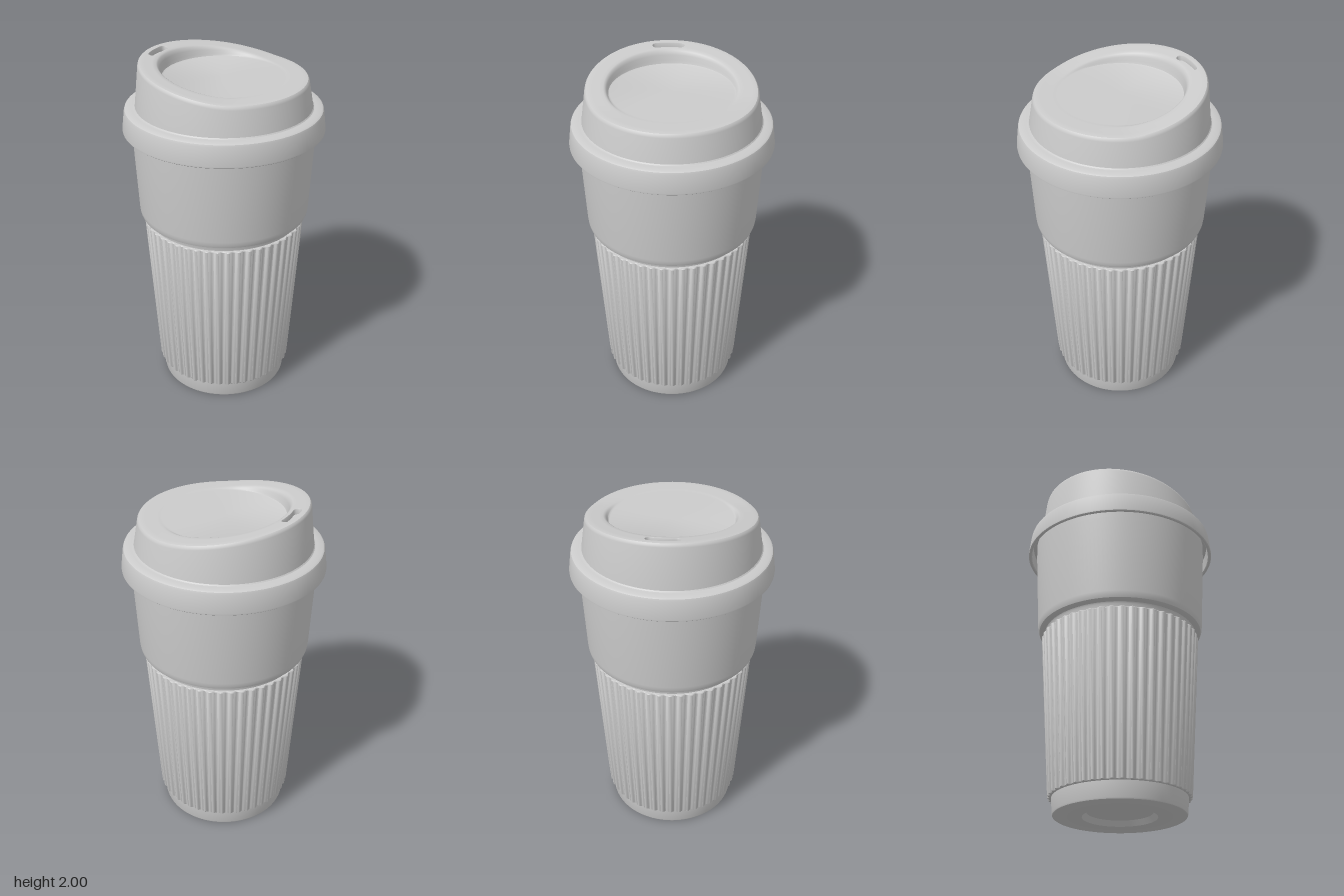
import * as THREE from 'three';
import { mergeGeometries, toCreasedNormals } from 'three/addons/utils/BufferGeometryUtils.js';

const material = new THREE.MeshStandardMaterial({ color: 0xcccccc });
const rad = THREE.MathUtils.degToRad;

// Creases are computed at a larger scale so that small fillets stay separate.
function crease(geometry, angle = 0.6) {
  geometry.scale(100, 100, 100);
  return toCreasedNormals(geometry, angle).scale(0.01, 0.01, 0.01);
}

function part(name, geometry) {
  const mesh = new THREE.Mesh(geometry, material);
  mesh.name = name;
  return mesh;
}

// Grid of quads; at(u, v) returns the point [x, y, z] for integer u and v.
function surface(nu, nv, at) {
  const points = [], index = [];
  for (let v = 0; v <= nv; v++) {
    for (let u = 0; u <= nu; u++) {
      points.push(...at(u, v));
      if (u < nu && v < nv) {
        const a = v * (nu + 1) + u, d = a + nu + 1;
        index.push(a, a + 1, d + 1, a, d + 1, d);
      }
    }
  }
  const geometry = new THREE.BufferGeometry();
  geometry.setAttribute('position', new THREE.Float32BufferAttribute(points, 3));
  geometry.setIndex(index);
  return geometry;
}

function lathe(profile) {
  const geometry = new THREE.LatheGeometry(profile.map(([r, y]) => new THREE.Vector2(r, y)), 128);
  geometry.deleteAttribute('uv');
  return crease(geometry);
}

const polar = (r, angle) => [r * Math.cos(angle), -r * Math.sin(angle)];

// Ribbed grip sleeve
function sleeveGeometry() {
  const ribs = 48, steps = 8;
  const rows = [[0.375, 0.1, 0], [0.39, 0.1, 1], [0.394, 0.104, 1], [0.457, 1.057, 1], [0.453, 1.062, 1], [0.43, 1.062, 0]];
  return crease(surface(ribs * steps, rows.length - 1, (u, v) => {
    const [r, y, wave] = rows[v];
    const a = (u / (ribs * steps)) * Math.PI * 2;
    const [x, z] = polar(r + wave * 0.006 * Math.cos(a * ribs), a);
    return [x, y, z];
  }), 0.7);
}

// Lid top: a ring rising toward the back right around a flat round floor
const FLOOR = 1.905;
function rimHeight(x, z) {
  const t = 0.155 * ((-x - z) * Math.SQRT1_2 + 0.16);
  return FLOOR + (t + Math.sqrt(t * t + 0.0001)) / 2;
}

function crownGeometry() {
  const slotAngle = rad(130), slotR = 0.405, half = 8, ringHalf = 0.04, ringRows = 4, segs = 180;
  const angle = (u) => slotAngle + rad((u - half) * 2);
  const onRim = (r, a, drop = 0) => {
    const [x, z] = polar(r, a);
    return [x, rimHeight(x, z) - drop, z];
  };

  // outer wall with rounded upper edge
  const edge = [[0.466, 0.022], [0.463, 0.01], [0.456, 0.002], [0.445, 0]];
  const wall = surface(segs, edge.length, (u, v) => {
    if (v > 0) return onRim(edge[v - 1][0], angle(u), edge[v - 1][1]);
    const [x, z] = polar(0.49, angle(u));
    return [x, 1.748, z];
  });

  // sloping ring, leaving a gap for the sip slot
  const ringR = (v) => slotR + ringHalf * (1 - (2 * v) / ringRows);
  const ring = surface(segs - 2 * half, ringRows, (u, v) => onRim(ringR(v), angle(u + 2 * half)));

  // recess wall and flat floor
  const inner = [[0.365, 1], [0.356, 0.92], [0.348, 0.65], [0.343, 0.28], [0.338, 0.06], [0.33, 0], [0, 0]];
  const recess = surface(segs, inner.length - 1, (u, v) => {
    const [r, k] = inner[v];
    const [x, y, z] = onRim(r, angle(u));
    return [x, FLOOR + (y - FLOOR) * k, z];
  });

  // sip slot: from the edge of the gap to a stadium outline, then down
  const border = [];
  for (let i = 0; i < 2 * half; i++) border.push([i, 0]);
  for (let j = 0; j < ringRows; j++) border.push([2 * half, j]);
  for (let i = 2 * half; i > 0; i--) border.push([i, ringRows]);
  for (let j = ringRows; j > 0; j--) border.push([0, j]);
  const slotRows = [[0.023, 0], [0.021, 0.004], [0.021, 0.03], [0, 0.03]];
  const slot = surface(border.length, slotRows.length, (u, v) => {
    const [i, j] = border[u % border.length];
    if (v === 0) return onRim(ringR(j), angle(i));
    const s = (angle(i) - slotAngle) * slotR, q = ringR(j) - slotR;
    const c = THREE.MathUtils.clamp(s, -0.068, 0.068);
    const [width, drop] = slotRows[v - 1];
    const k = width / Math.hypot(s - c, q);
    return onRim(slotR + q * k, slotAngle + (c + (s - c) * k) / slotR, drop);
  });

  return crease(mergeGeometries([wall, ring, recess, slot]), 0.65);
}

export function createModel() {
  const model = new THREE.Group();
  model.name = 'travelCup';

  // Cup with recessed base, foot, neck and upper body
  model.add(part('cup', lathe([
    [0, 0.03], [0.185, 0.03], [0.208, 0], [0.362, 0], [0.369, 0.004], [0.372, 0.012], [0.378, 0.1],
    [0.44, 1.05], [0.442, 1.085], [0.447, 1.094], [0.468, 1.097], [0.479, 1.103], [0.485, 1.118],
    [0.488, 1.14], [0.512, 1.605], [0.514, 1.7], [0.49, 1.7],
  ])));

  model.add(part('sleeve', sleeveGeometry()));

  // Lid: skirt and shelf, then the sloping crown
  const lid = new THREE.Group();
  lid.name = 'lid';
  lid.add(part('lidSkirt', lathe([
    [0.5, 1.68], [0.535, 1.68], [0.543, 1.617], [0.548, 1.612], [0.558, 1.612], [0.563, 1.616], [0.564, 1.624],
    [0.551, 1.725], [0.547, 1.736], [0.538, 1.742], [0.505, 1.742], [0.495, 1.744], [0.49, 1.75],
  ])));
  lid.add(part('lidCrown', crownGeometry()));
  model.add(lid);
  return model;
}
